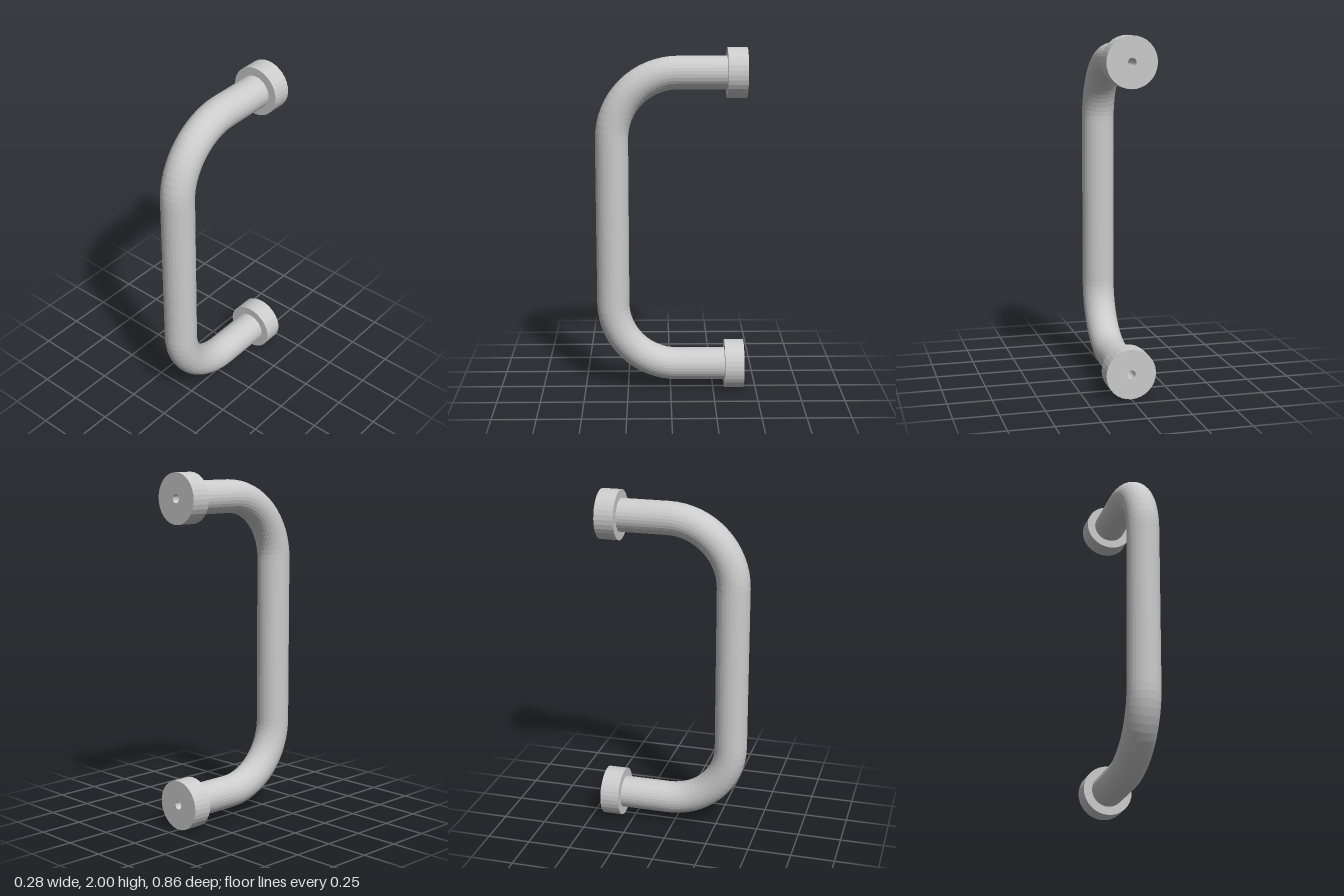
import * as THREE from 'three';

const SIDES = 32;
const R = 0.094;        // bar radius
const BEND = 0.375;     // bend radius along the centreline
const LOW = 0.142, HIGH = 1.858; // heights of the two arms
const FRONT = 0.334;    // z of the vertical grip
const BACK = -0.428, FLANGE = -0.316;

export function createModel() {
  const group = new THREE.Group();
  const material = new THREE.MeshStandardMaterial({ color: 0xcccccc, flatShading: true });
  const add = (name, geometry, y, z) => {
    const mesh = new THREE.Mesh(geometry, material);
    mesh.name = name;
    mesh.position.set(0, y, z);
    group.add(mesh);
  };

  // Straight vertical grip
  const gripLength = HIGH - LOW - 2 * BEND;
  add('grip', new THREE.CylinderGeometry(R, R, gripLength, SIDES, 1, true), 1, FRONT);

  const bendZ = FRONT - BEND;
  const armLength = bendZ - FLANGE;
  // Mounting collar with a blind screw hole running on into the arm
  const collar = [
    [R - 0.004, 0], [0.142, 0], [0.142, FLANGE - BACK],
    [0.024, FLANGE - BACK], [0.024, -0.12], [0, -0.12],
  ].map(([r, y]) => new THREE.Vector2(r, y));

  for (const [label, y, side] of [['upper', HIGH, 1], ['lower', LOW, -1]]) {
    // Quarter bend from the grip into the arm
    const bend = new THREE.TorusGeometry(BEND, R, SIDES, 16, Math.PI / 2);
    if (side < 0) bend.rotateZ(-Math.PI / 2);
    bend.rotateY(-Math.PI / 2);
    add(label + 'Bend', bend, y - side * BEND, bendZ);

    // Straight arm towards the wall
    const arm = new THREE.CylinderGeometry(R, R, armLength, SIDES, 1, true);
    arm.rotateX(Math.PI / 2);
    add(label + 'Arm', arm, y, (bendZ + FLANGE) / 2);

    const flange = new THREE.LatheGeometry(collar, SIDES);
    flange.rotateX(-Math.PI / 2);
    add(label + 'Flange', flange, y, FLANGE);
  }
  return group;
}
